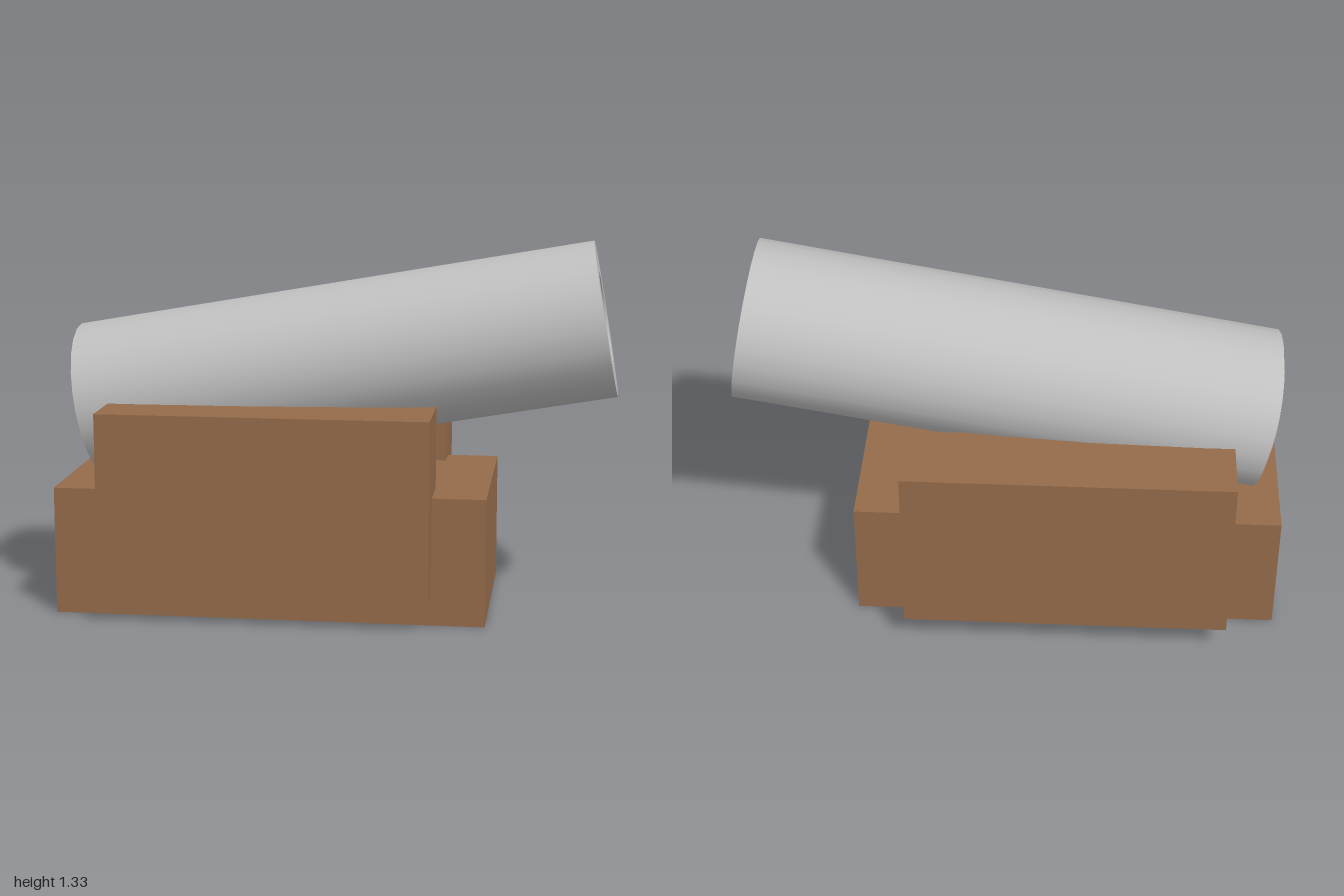
import * as THREE from 'three';

const SIDES = 24;

export function createModel() {
  const wood = new THREE.MeshStandardMaterial({ color: 0x946b4a });
  wood.name = 'wood';
  const metal = new THREE.MeshStandardMaterial({ color: 0xc0c0c0, side: THREE.DoubleSide });
  metal.name = 'metal';

  const model = new THREE.Group();
  model.name = 'cannon';

  function add(parent, name, geometry, material) {
    const mesh = new THREE.Mesh(geometry, material);
    mesh.name = name;
    parent.add(mesh);
    return mesh;
  }

  // Box given by its minimum and maximum corners
  function block(name, min, max) {
    const size = max.map((v, i) => v - min[i]);
    const mesh = add(model, name, new THREE.BoxGeometry(...size), wood);
    mesh.position.set(...max.map((v, i) => (v + min[i]) / 2));
  }

  // Wooden carriage: bed and two cheeks
  block('bed', [-1, 0, -0.345], [0.545, 0.46, 0.403]);
  block('leftCheek', [-0.817, 0.11, 0.24], [0.355, 0.755, 0.527]);
  block('rightCheek', [-0.817, 0.11, -0.527], [0.355, 0.755, -0.24]);

  // Barrel: local y runs from the breech (0) to the muzzle, slightly oval across
  const length = 1.909, outer = 0.284, bore = 0.17, boreFloor = 0.1;
  const barrel = new THREE.Group();
  barrel.name = 'barrel';
  barrel.position.set(-0.935, 0.719, 0.018);
  barrel.rotation.z = THREE.MathUtils.degToRad(-80);
  barrel.scale.z = 1.073;
  model.add(barrel);

  add(barrel, 'barrelWall',
    new THREE.CylinderGeometry(outer, outer, length, SIDES, 1, true), metal).position.y = length / 2;
  add(barrel, 'muzzleFace',
    new THREE.RingGeometry(bore, outer, SIDES).rotateX(-Math.PI / 2), metal).position.y = length;
  add(barrel, 'boreWall',
    new THREE.CylinderGeometry(bore, bore, length - boreFloor, SIDES, 1, true), metal)
    .position.y = (length + boreFloor) / 2;
  add(barrel, 'boreEnd',
    new THREE.CircleGeometry(bore, SIDES).rotateX(-Math.PI / 2), metal).position.y = boreFloor;
  add(barrel, 'breechFace',
    new THREE.CircleGeometry(outer, SIDES).rotateX(Math.PI / 2), metal);

  // Raised disc on the breech
  add(barrel, 'breechCap',
    new THREE.CylinderGeometry(0.22, 0.22, 0.04, SIDES), metal).position.y = 0.001;

  return model;
}
